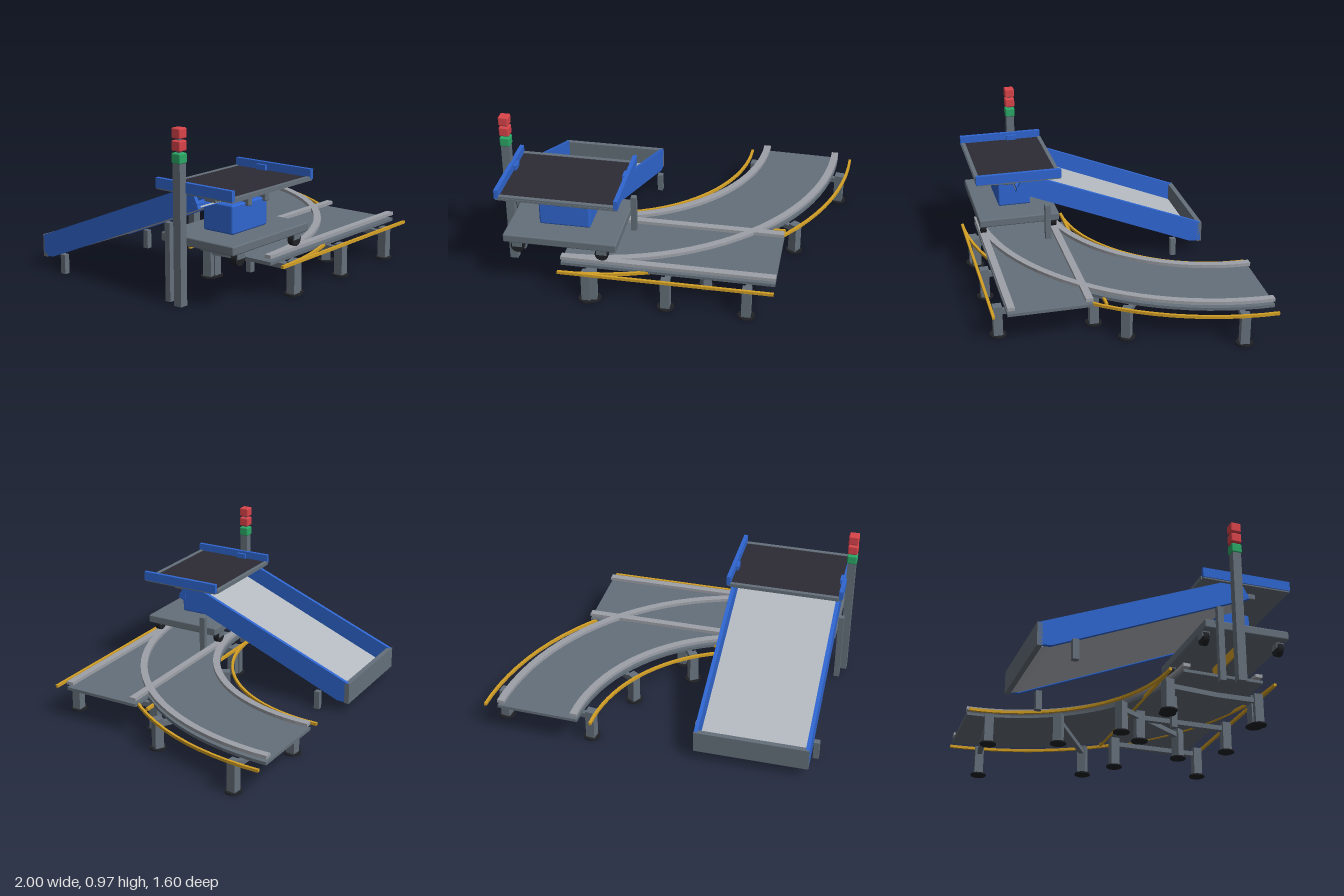
import * as THREE from 'three';
import { RoundedBoxGeometry } from 'three/addons/geometries/RoundedBoxGeometry.js';

const mat = (name, color, side = THREE.FrontSide) => {
  const m = new THREE.MeshStandardMaterial({ color, side });
  m.name = name;
  return m;
};

export function createModel() {
  const steel = mat('steel grey', 0x65707a);
  const railGrey = mat('rail grey', 0x9da1a8);
  const bedGrey = mat('chute bed grey', 0xb4b9c0);
  const blue = mat('blue paint', 0x2f66d0);
  const yellow = mat('safety yellow', 0xd4a025);
  const black = mat('belt black', 0x2c2b34);
  const rubber = mat('rubber', 0x1f2125);
  const red = mat('red lamp', 0xd9444a);
  const green = mat('green lamp', 0x2ba866);

  const model = new THREE.Group();
  model.name = 'conveyorTransferStation';
  const group = (name, parent = model) => {
    const g = new THREE.Group();
    g.name = name;
    parent.add(g);
    return g;
  };
  const add = (parent, name, geo, material) => {
    const m = new THREE.Mesh(geo, material);
    m.name = name;
    parent.add(m);
    return m;
  };
  // box given by its extents on each axis
  const box = (parent, name, material, x0, x1, y0, y1, z0, z1, round = 0) => {
    const s = [x1 - x0, y1 - y0, z1 - z0];
    const geo = round ? new RoundedBoxGeometry(...s, 2, round) : new THREE.BoxGeometry(...s);
    geo.translate((x0 + x1) / 2, (y0 + y1) / 2, (z0 + z1) / 2);
    return add(parent, name, geo, material);
  };
  // outline in (z, y), extruded across x
  const sidePlate = (parent, name, material, pts, x0, x1) => {
    const shape = new THREE.Shape(pts.map(p => new THREE.Vector2(...p)));
    const geo = new THREE.ExtrudeGeometry(shape, { depth: x1 - x0, bevelEnabled: false });
    geo.rotateY(-Math.PI / 2).translate(x1, 0, 0);
    return add(parent, name, geo, material);
  };

  // Curved lane: quarter circle starting where the straight lane starts
  const CX = -0.59, CZ = -0.79, R = 1.255, STEPS = 24, END = Math.PI / 2;
  const arcPoint = t => [CX + R * Math.sin(t), CZ + R * Math.cos(t)];
  const arcStrip = (o0, o1, y0, y1) => {
    const section = [[o0, y0], [o1, y0], [o1, y1], [o0, y1]];
    const half = END / STEPS / 2;
    const rings = [];
    for (let i = 0; i <= STEPS; i++) {
      const t = END * i / STEPS, n = THREE.MathUtils.clamp(t, half, END - half);
      const [x, z] = arcPoint(t);
      rings.push(section.map(([o, y]) => [x + o * Math.sin(n), y, z + o * Math.cos(n)]));
    }
    const pos = [];
    const quad = (a, b, c, d) => [a, b, c, a, c, d].forEach(p => pos.push(...p));
    for (let i = 0; i < STEPS; i++) {
      const p = rings[i], q = rings[i + 1];
      for (let k = 0; k < 4; k++) quad(p[k], q[k], q[(k + 1) % 4], p[(k + 1) % 4]);
    }
    quad(...rings[0]);
    quad(...rings[STEPS].slice().reverse());
    const geo = new THREE.BufferGeometry();
    geo.setAttribute('position', new THREE.Float32BufferAttribute(pos, 3));
    geo.computeVertexNormals();
    return geo;
  };

  // Both lanes share one cross-section: deck, two rails, two guard bars
  const lanes = [
    ['Deck', steel, -0.247, 0.247, 0.195, 0.213],
    ['InnerRail', railGrey, -0.247, -0.204, 0.231, 0.251],
    ['OuterRail', railGrey, 0.204, 0.247, 0.231, 0.251],
    ['InnerGuard', yellow, -0.334, -0.318, 0.191, 0.208],
    ['OuterGuard', yellow, 0.318, 0.334, 0.191, 0.208],
  ];
  const LZ = CZ + R;
  const straight = group('straightLane'), curve = group('curvedLane');
  for (const [name, m, o0, o1, y0, y1] of lanes) {
    box(straight, 'straight' + name, m, CX, 0.66, y0, y1, LZ + o0, LZ + o1);
    add(curve, 'curved' + name, arcStrip(o0, o1, y0, y1), m);
  }

  // Trestles: two legs with round feet and a cross beam
  const trestle = (parent, x, z, t) => {
    const g = group('trestle', parent);
    g.position.set(x, 0, z);
    g.rotation.y = t - Math.PI / 2;
    box(g, 'crossBeam', steel, -0.283, 0.283, 0.138, 0.168, -0.015, 0.015);
    for (const s of [-0.283, 0.283]) {
      box(g, 'leg', steel, s - 0.027, s + 0.027, 0.005, 0.192, -0.027, 0.027);
      const foot = add(g, 'foot', new THREE.CylinderGeometry(0.05, 0.05, 0.008, 16), rubber);
      foot.position.set(s, 0.004, 0);
    }
  };
  for (const x of [-0.43, 0.035, 0.505]) trestle(straight, x, LZ, 0);
  for (const f of [0.08, 0.36, 0.64, 0.92]) trestle(curve, ...arcPoint(f * END), f * END);

  // Sloping chute
  const chute = group('chute');
  const wall = [[0.49, 0.54], [0.455, 0.612], [0.32, 0.612], [-0.72, 0.197], [-0.72, 0.07], [-0.65, 0.073]];
  sidePlate(chute, 'rightChuteWall', blue, wall, -0.928, -0.906);
  sidePlate(chute, 'leftChuteWall', blue, wall, -0.279, -0.257);
  sidePlate(chute, 'chuteBed', bedGrey,
    [[0.485, 0.545], [0.477, 0.565], [-0.70, 0.083], [-0.70, 0.066], [-0.65, 0.078]], -0.906, -0.279);
  box(chute, 'chuteEndWall', steel, -0.928, -0.257, 0.065, 0.198, -0.728, -0.698);
  box(chute, 'chuteTopBar', blue, -0.93, -0.255, 0.54, 0.568, 0.435, 0.482);
  for (const x of [-0.945, -0.24]) {
    box(chute, 'shortChutePost', steel, x - 0.017, x + 0.017, 0, 0.115, -0.545, -0.51);
    box(chute, 'tallChutePost', steel, x - 0.017, x + 0.017, 0, 0.443, 0.278, 0.313);
  }

  // Wheeled carriage under the table
  const carriage = group('carriage');
  box(carriage, 'carriagePlate', steel, -0.925, -0.255, 0.322, 0.373, 0.217, 0.722, 0.008);
  box(carriage, 'liftHousing', blue, -0.745, -0.44, 0.372, 0.537, 0.365, 0.572, 0.012);
  box(carriage, 'warningPlate', yellow, -0.745, -0.44, 0.262, 0.323, 0.467, 0.475);
  for (const x of [-0.845, -0.345]) for (const z of [0.242, 0.69]) {
    const wheel = add(carriage, 'wheel', new THREE.CylinderGeometry(0.04, 0.04, 0.034, 16), rubber);
    wheel.rotation.x = Math.PI / 2;
    wheel.position.set(x, 0.291, z);
    box(carriage, 'wheelBracket', steel, x - 0.03, x + 0.03, 0.29, 0.325, z - 0.022, z + 0.022);
  }

  // Belt table with blue side rails
  const table = group('beltTable');
  box(table, 'tableFrame', steel, -0.945, -0.24, 0.612, 0.624, 0.207, 0.733);
  box(table, 'belt', black, -0.925, -0.26, 0.624, 0.631, 0.222, 0.705);
  for (const [z0, z1] of [[0.2, 0.224], [0.705, 0.73]])
    box(table, 'endBar', steel, -0.928, -0.257, 0.612, 0.634, z0, z1);
  for (const s of [-1, 1]) {
    const x = -0.5925 + s * 0.346;
    box(table, 'sideRail', blue, x - 0.012, x + 0.012, 0.62, 0.677, 0.205, 0.735);
    const b = -0.5925 + s * 0.326;
    box(table, 'sideStop', blue, b - 0.009, b + 0.009, 0.625, 0.662, 0.365, 0.43);
    const k = -0.54 + s * 0.075;
    box(table, 'liftBracket', steel, k - 0.018, k + 0.018, 0.515, 0.588, 0.48, 0.592, 0.006);
  }
  box(table, 'upperCrossBar', steel, -0.87, -0.31, 0.572, 0.606, 0.478, 0.556, 0.006);
  box(table, 'liftColumn', steel, -0.63, -0.45, 0.53, 0.613, 0.42, 0.5);

  // Signal tower
  const tower = group('signalTower');
  box(tower, 'towerPost', steel, -0.995, -0.945, 0, 0.785, 0.37, 0.42);
  [[green, 0.783], [red, 0.85], [red, 0.917]].forEach(([m, y]) =>
    box(tower, 'signalLamp', m, -1, -0.94, y, y + 0.057, 0.364, 0.426, 0.008));
  box(tower, 'lampStem', steel, -0.98, -0.96, 0.78, 0.95, 0.385, 0.405);

  return model;
}
